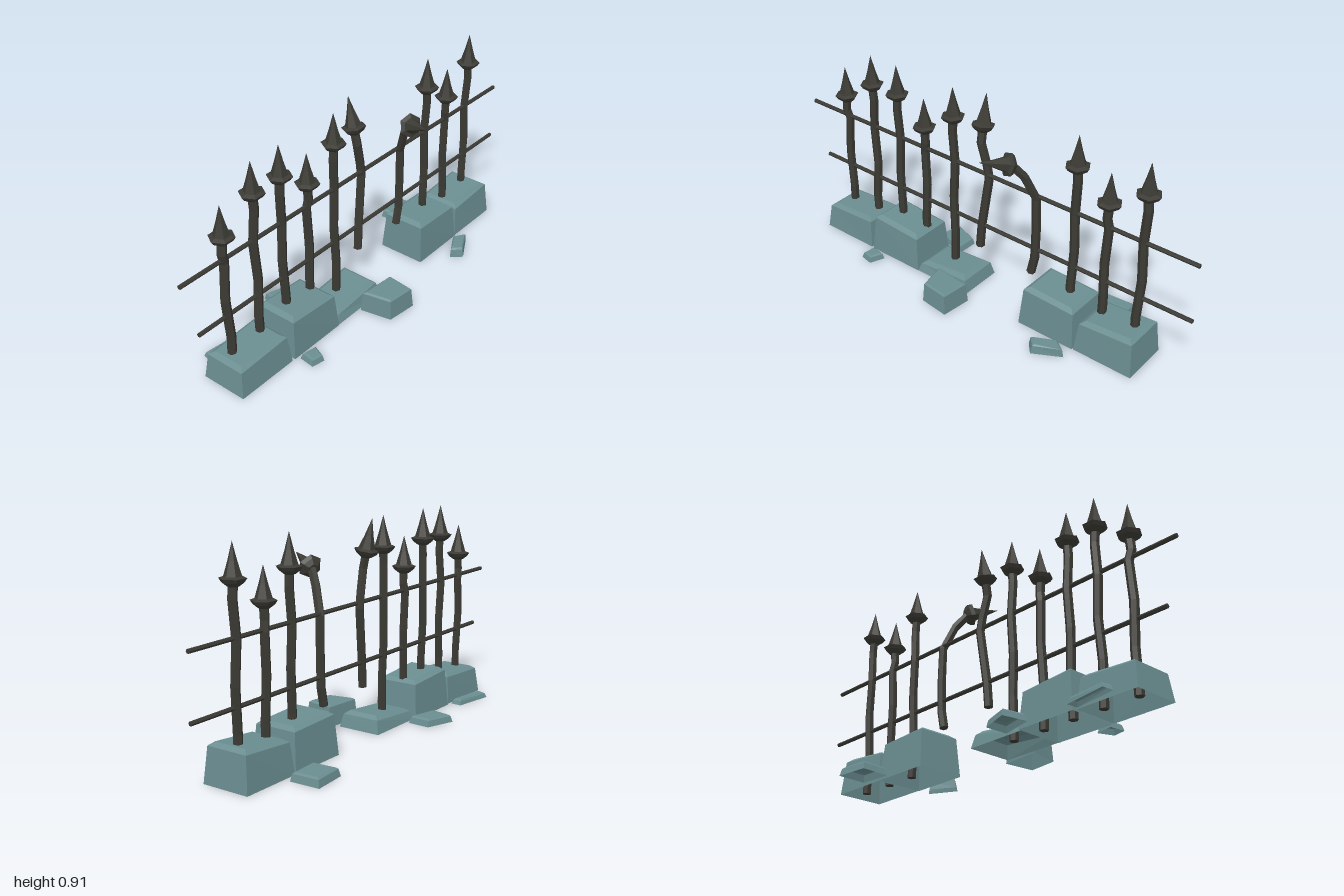
import * as THREE from 'three';

const iron = new THREE.MeshStandardMaterial({ color: 0x3b3a34, flatShading: true });
const stone = new THREE.MeshStandardMaterial({ color: 0x6b8e91, flatShading: true, side: THREE.DoubleSide });
const UP = new THREE.Vector3(0, 1, 0);

function addMesh(parent, name, geometry, material) {
  const mesh = new THREE.Mesh(geometry, material);
  mesh.name = name;
  parent.add(mesh);
  return mesh;
}

// Six-sided bar whose rings follow a list of points
function bar(points, radius, sides = 6) {
  const curve = new THREE.CatmullRomCurve3(points.map(p => new THREE.Vector3(...p)));
  const geo = new THREE.CylinderGeometry(radius, radius, 1, sides, points.length - 1);
  const pos = geo.attributes.position;
  const v = new THREE.Vector3(), q = new THREE.Quaternion();
  for (let i = 0; i < pos.count; i++) {
    const t = THREE.MathUtils.clamp(pos.getY(i) + 0.5, 0, 1);
    q.setFromUnitVectors(UP, curve.getTangent(t));
    v.set(pos.getX(i), 0, pos.getZ(i)).applyQuaternion(q).add(curve.getPoint(t));
    pos.setXYZ(i, v.x, v.y, v.z);
  }
  return geo;
}

// Spear head: flared collar below a concave spike, aimed from base to tip
const headProfile = [[0, -0.015], [0.022, -0.015], [0.042, 0], [0.052, 0.015], [0.034, 0.022], [0.018, 0.075], [0, 0.145]]
  .map(p => new THREE.Vector2(...p));
function spearHead(parent, base, tip) {
  const head = addMesh(parent, 'spearHead', new THREE.LatheGeometry(headProfile, 6, Math.PI / 6), iron);
  const from = new THREE.Vector3(...base);
  const dir = new THREE.Vector3(...tip).sub(from);
  head.scale.y = dir.length() / 0.145;
  head.quaternion.setFromUnitVectors(UP, dir.normalize());
  head.position.copy(from);
}

function post(parent, name, points, tip) {
  const group = new THREE.Group();
  group.name = name;
  addMesh(group, 'shaft', bar(points, 0.019), iron);
  spearHead(group, points[points.length - 1], tip);
  parent.add(group);
}

// Tapered, bevelled, hollow stone on four [x, z] ground corners;
// the top slopes from height hl (at -x) to hr (at +x)
function block(parent, name, corners, hl, hr, taper, bevel) {
  const xs = corners.map(c => c[0]), zs = corners.map(c => c[1]);
  const x0 = Math.min(...xs), x1 = Math.max(...xs), z0 = Math.min(...zs), z1 = Math.max(...zs);
  const cx = (x0 + x1) / 2, cz = (z0 + z1) / 2;
  const verts = [], index = [];
  [[0, null], [taper, bevel * 0.75], [taper + bevel, 0]].forEach(([inset, drop]) => {
    const sx = 1 - 2 * inset / (x1 - x0), sz = 1 - 2 * inset / (z1 - z0);
    for (const [x, z] of corners) {
      const top = THREE.MathUtils.mapLinear(x, x0, x1, hl, hr);
      verts.push(cx + (x - cx) * sx, drop === null ? 0 : top - drop, cz + (z - cz) * sz);
    }
  });
  for (let r = 0; r < 2; r++) {
    for (let i = 0; i < 4; i++) {
      const a = r * 4 + i, b = r * 4 + (i + 1) % 4;
      index.push(a, a + 4, b + 4, a, b + 4, b);
    }
  }
  index.push(8, 11, 10, 8, 10, 9);
  const geo = new THREE.BufferGeometry();
  geo.setAttribute('position', new THREE.Float32BufferAttribute(verts, 3));
  geo.setIndex(index);
  const flat = geo.toNonIndexed();
  flat.computeVertexNormals();
  addMesh(parent, name, flat, stone);
}

export function createModel() {
  const model = new THREE.Group();
  model.name = 'brokenFence';

  // Foundation blocks: x range, z range, top height at each end
  [
    [-0.85, -0.57, -0.1, 0.105, 0.125, 0.137],
    [-0.557, -0.285, -0.107, 0.107, 0.182, 0.166],
    [-0.285, -0.01, -0.095, 0.105, 0.052, 0.072],
    [0.28, 0.55, -0.107, 0.11, 0.184, 0.175],
    [0.555, 0.825, -0.107, 0.107, 0.145, 0.163],
  ].forEach(([a, b, c, d, hl, hr]) =>
    block(model, 'foundationBlock', [[a, c], [b, c], [b, d], [a, d]], hl, hr, 0.013, 0.02));

  // Loose rubble around the foundation: corners and height
  [
    [[[-0.77, -0.19], [-0.58, -0.16], [-0.583, -0.11], [-0.777, -0.14]], 0.025],
    [[[-0.35, -0.255], [-0.22, -0.21], [-0.225, -0.11], [-0.37, -0.145]], 0.033],
    [[[0.465, -0.255], [0.615, -0.268], [0.62, -0.135], [0.475, -0.127]], 0.037],
    [[[-0.54, 0.12], [-0.463, 0.135], [-0.49, 0.202], [-0.548, 0.19]], 0.03],
    [[[-0.152, 0.115], [0.025, 0.132], [0.01, 0.268], [-0.125, 0.252]], 0.093],
    [[[0.395, 0.19], [0.5, 0.13], [0.553, 0.17], [0.435, 0.235]], 0.042],
  ].forEach(([corners, h]) => block(model, 'rubble', corners, h, h, 0.007, 0.009));

  // Upright posts, each with a slight wobble: x, tip height, sway
  const z = -0.01;
  [
    [-0.785, 0.8, 0.006], [-0.622, 0.905, -0.006], [-0.475, 0.905, 0.004],
    [-0.325, 0.8, -0.004], [-0.165, 0.905, 0.004],
    [0.453, 0.905, -0.004], [0.603, 0.8, 0.004], [0.765, 0.905, -0.005],
  ].forEach(([x, tip, s]) => {
    const top = tip - 0.147;
    post(model, 'post', [
      [x, 0.01, z], [x + s, 0.2, z], [x - s, 0.38, z - 0.003],
      [x + s, 0.55, z - 0.005], [x - s, top - 0.06, z], [x, top, z],
    ], [x, tip, z]);
  });

  // Two snapped posts hanging from the rails
  post(model, 'kinkedPost', [
    [-0.02, 0.195, -0.008], [-0.013, 0.3, -0.01], [0.018, 0.54, -0.02],
    [0.008, 0.6, -0.018], [-0.018, 0.7, -0.012], [-0.02, 0.762, -0.025],
  ], [-0.024, 0.908, -0.053]);
  post(model, 'bentPost', [
    [0.25, 0.18, -0.01], [0.267, 0.26, -0.01], [0.27, 0.4, -0.01],
    [0.267, 0.55, -0.008], [0.237, 0.66, 0.035], [0.205, 0.724, 0.08],
  ], [0.148, 0.77, 0.207]);

  // Horizontal rails
  addMesh(model, 'upperRail', bar([[-1, 0.566, -0.012], [0, 0.561, -0.012], [1, 0.556, -0.012]], 0.009), iron);
  addMesh(model, 'lowerRail', bar([[-0.935, 0.308, -0.012], [0, 0.304, -0.012], [1, 0.3, -0.012]], 0.009), iron);

  return model;
}
